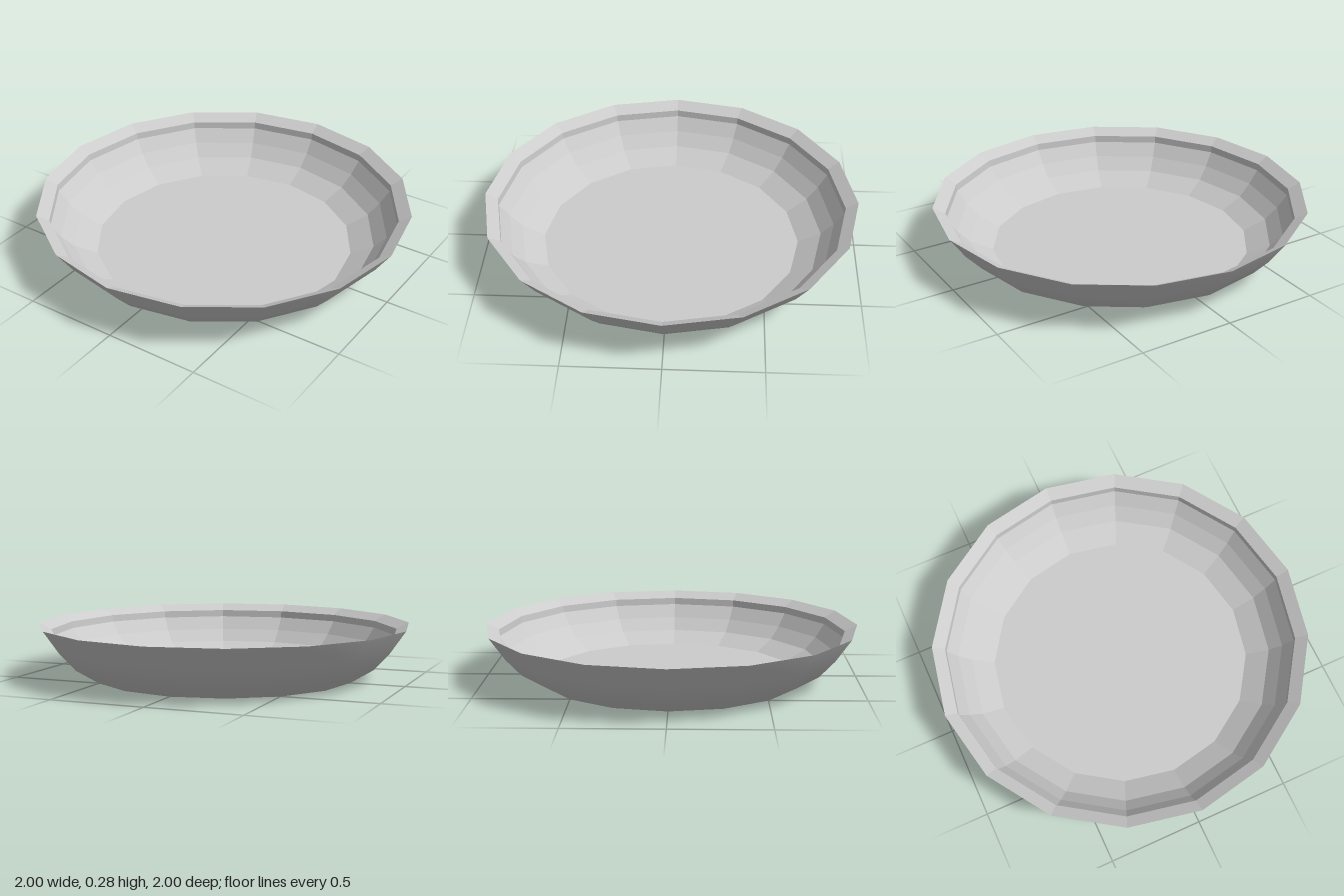
import * as THREE from 'three';

const SIDES = 16;

// Revolve a [radius, height] profile into a 16-sided surface
function revolve(name, profile, flatShading) {
  const points = profile.map(([r, y]) => new THREE.Vector2(r, y));
  const mesh = new THREE.Mesh(
    new THREE.LatheGeometry(points, SIDES),
    new THREE.MeshStandardMaterial({ color: 0xcccccc, flatShading, side: THREE.DoubleSide })
  );
  mesh.name = name;
  return mesh;
}

export function createModel() {
  const dish = new THREE.Group();
  dish.name = 'dish';

  // Flat underside
  dish.add(revolve('base', [[0, 0], [0.71, 0]], true));

  // Smooth rounded outside wall
  dish.add(revolve('outerWall', [[0.71, 0], [0.832, 0.074], [0.917, 0.166], [1, 0.285]], false));

  // Rim sloping inwards
  dish.add(revolve('rim', [[1, 0.285], [0.935, 0.25]], true));

  // Faceted inside: small upright step below the rim, then the curved bowl
  dish.add(revolve('innerWall', [[0.935, 0.25], [0.932, 0.212], [0.88, 0.14], [0.815, 0.074], [0.695, 0.015]], true));

  // Flat inside bottom
  dish.add(revolve('floor', [[0.695, 0.015], [0, 0.015]], true));

  return dish;
}
